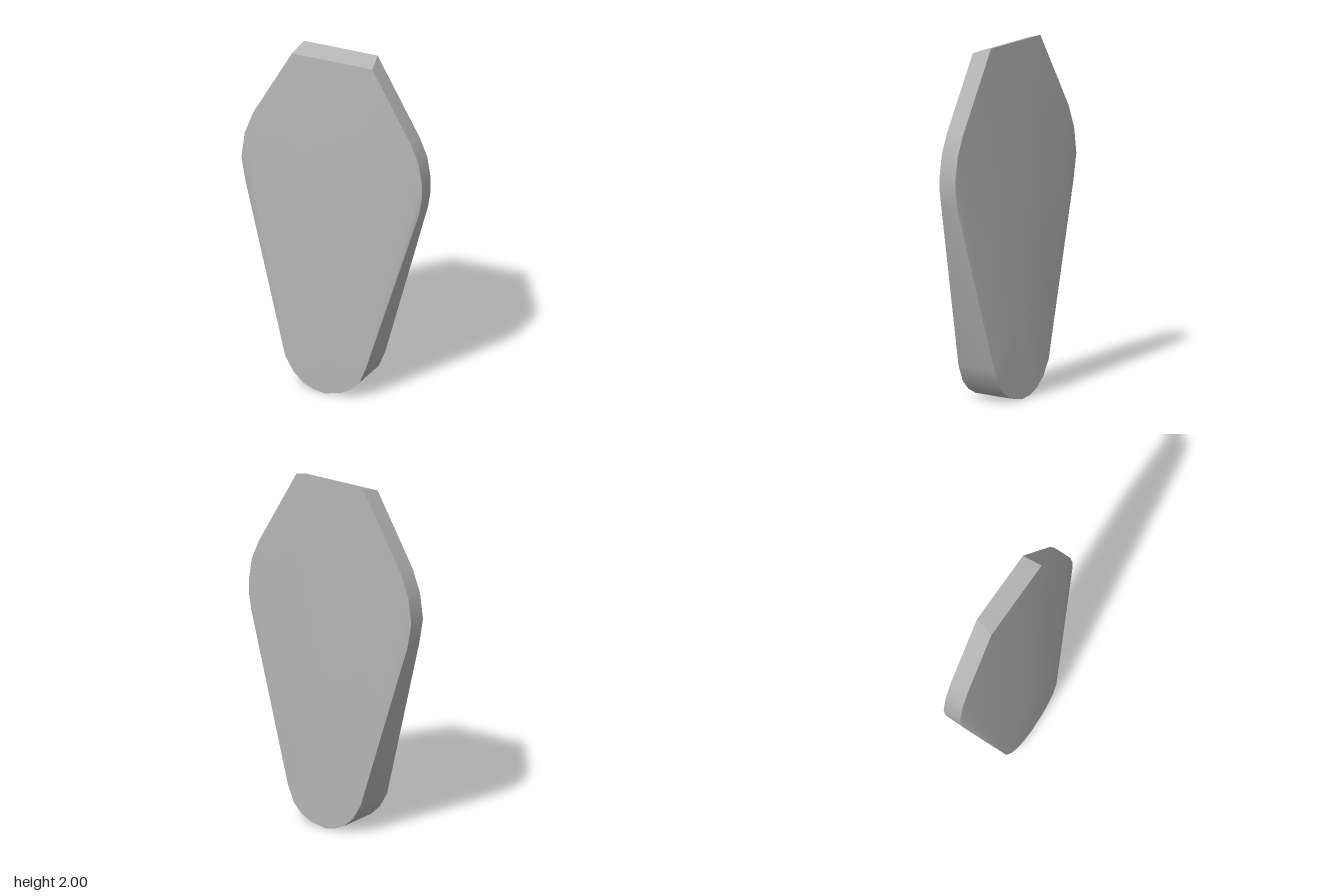
import * as THREE from 'three';
import { ConvexGeometry } from 'three/addons/geometries/ConvexGeometry.js';
import { toCreasedNormals } from 'three/addons/utils/BufferGeometryUtils.js';

// Outline of the slab, from the upper right shoulder round the foot to the upper left
const outline = [
  [0.48, 1.555], [0.525, 1.45], [0.545, 1.33], [0.545, 1.24], [0.53, 1.15],
  [0.25, 0.2], [0.21, 0.105], [0.16, 0.055], [0.095, 0.02], [0, 0],
  [-0.07, 0.012], [-0.13, 0.04], [-0.19, 0.095], [-0.24, 0.18],
  [-0.525, 1.14], [-0.55, 1.28], [-0.53, 1.43], [-0.48, 1.56],
];

const FOOT_Z = 0.124;
const FRONT_Z = 0.03;
const BACK_Z = -0.08;

// Rim depth: thick round the foot, thinning evenly up to the shoulders
function rimZ(y, shoulderZ) {
  const foot = Math.sign(shoulderZ) * FOOT_Z;
  return THREE.MathUtils.lerp(foot, shoulderZ, THREE.MathUtils.clamp((y - 0.2) / 0.95, 0, 1));
}

export function createModel() {
  const group = new THREE.Group();
  group.name = 'taperedSlab';
  const grey = new THREE.MeshStandardMaterial({ color: 0xb4b4b4 });
  grey.name = 'grey';

  // Front and back rims
  const points = [];
  for (const [x, y] of outline) {
    points.push(new THREE.Vector3(x, y, rimZ(y, FRONT_Z)));
    points.push(new THREE.Vector3(x, y, rimZ(y, BACK_Z)));
  }
  // Slanted top edge
  for (const side of [-1, 1]) {
    points.push(new THREE.Vector3(side * 0.244, 1.965, FRONT_Z));
    points.push(new THREE.Vector3(side * 0.224, 2, BACK_Z));
  }
  // Thickest point in the middle of each broad face
  for (const side of [-1, 1]) points.push(new THREE.Vector3(0, 0.46, side * FOOT_Z));

  const slab = new THREE.Mesh(toCreasedNormals(new ConvexGeometry(points), 0.5), grey);
  slab.name = 'slab';
  group.add(slab);
  return group;
}
